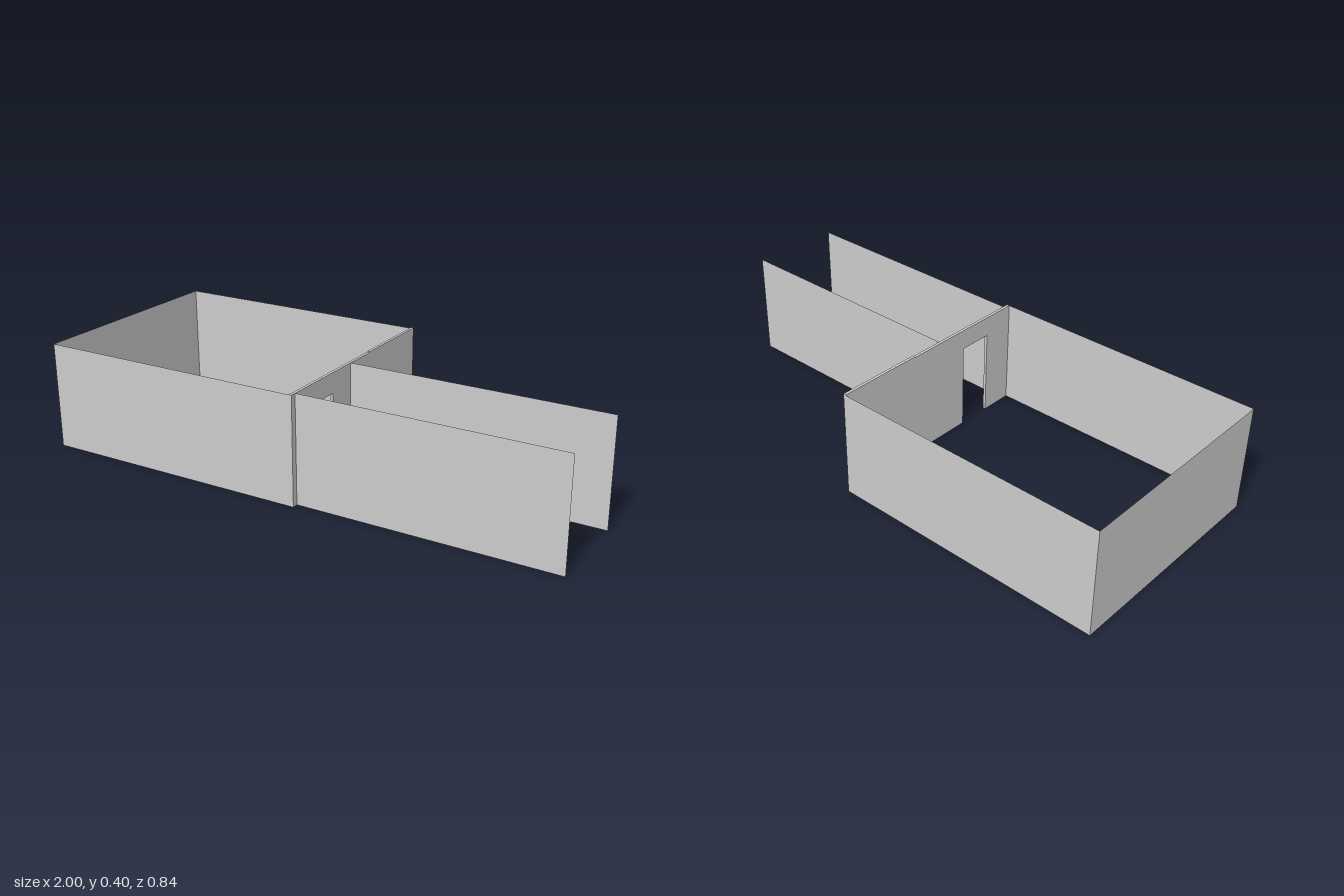
import * as THREE from 'three';

const material = new THREE.MeshStandardMaterial({ color: 0xcccccc, flatShading: true, side: THREE.DoubleSide });
const HEIGHT = 0.401;

// Paper-thin upright wall between two floor points [x, z]
function thinWall(name, [x0, z0], [x1, z1]) {
  const geometry = new THREE.PlaneGeometry(Math.hypot(x1 - x0, z1 - z0), HEIGHT);
  const wall = new THREE.Mesh(geometry, material);
  wall.name = name;
  wall.position.set((x0 + x1) / 2, HEIGHT / 2, (z0 + z1) / 2);
  wall.rotation.y = -Math.atan2(z1 - z0, x1 - x0);
  return wall;
}

// Solid dividing wall, notched by the doorway; outline is drawn in (-z, y)
function doorWall() {
  const outline = [
    [-0.42, 0], [-0.295, 0], [-0.295, 0.325], [-0.165, 0.325], [-0.165, 0],
    [0.42, 0], [0.42, 0.404], [0.09, 0.404], [0.09, HEIGHT], [-0.42, HEIGHT],
  ];
  const shape = new THREE.Shape(outline.map(([x, y]) => new THREE.Vector2(x, y)));
  const geometry = new THREE.ExtrudeGeometry(shape, { depth: 0.011, bevelEnabled: false });
  geometry.rotateY(Math.PI / 2).translate(0.027, 0, 0);
  const wall = new THREE.Mesh(geometry, material);
  wall.name = 'doorWall';
  return wall;
}

export function createModel() {
  const model = new THREE.Group();
  model.name = 'roomAndCorridor';

  // Open-topped room
  const room = new THREE.Group();
  room.name = 'room';
  room.add(
    thinWall('roomFrontWall', [-1, 0.42], [0.03, 0.42]),
    thinWall('roomBackWall', [-1, -0.42], [0.03, -0.42]),
    thinWall('roomEndWall', [-1, 0.42], [-1, -0.42]),
    doorWall(),
  );

  // Corridor leading away from the doorway
  const corridor = new THREE.Group();
  corridor.name = 'corridor';
  corridor.add(
    thinWall('corridorFrontWall', [0.038, 0.398], [0.993, 0.398]),
    thinWall('corridorBackWall', [0.038, 0.045], [1, 0.045]),
  );

  model.add(room, corridor);
  return model;
}
